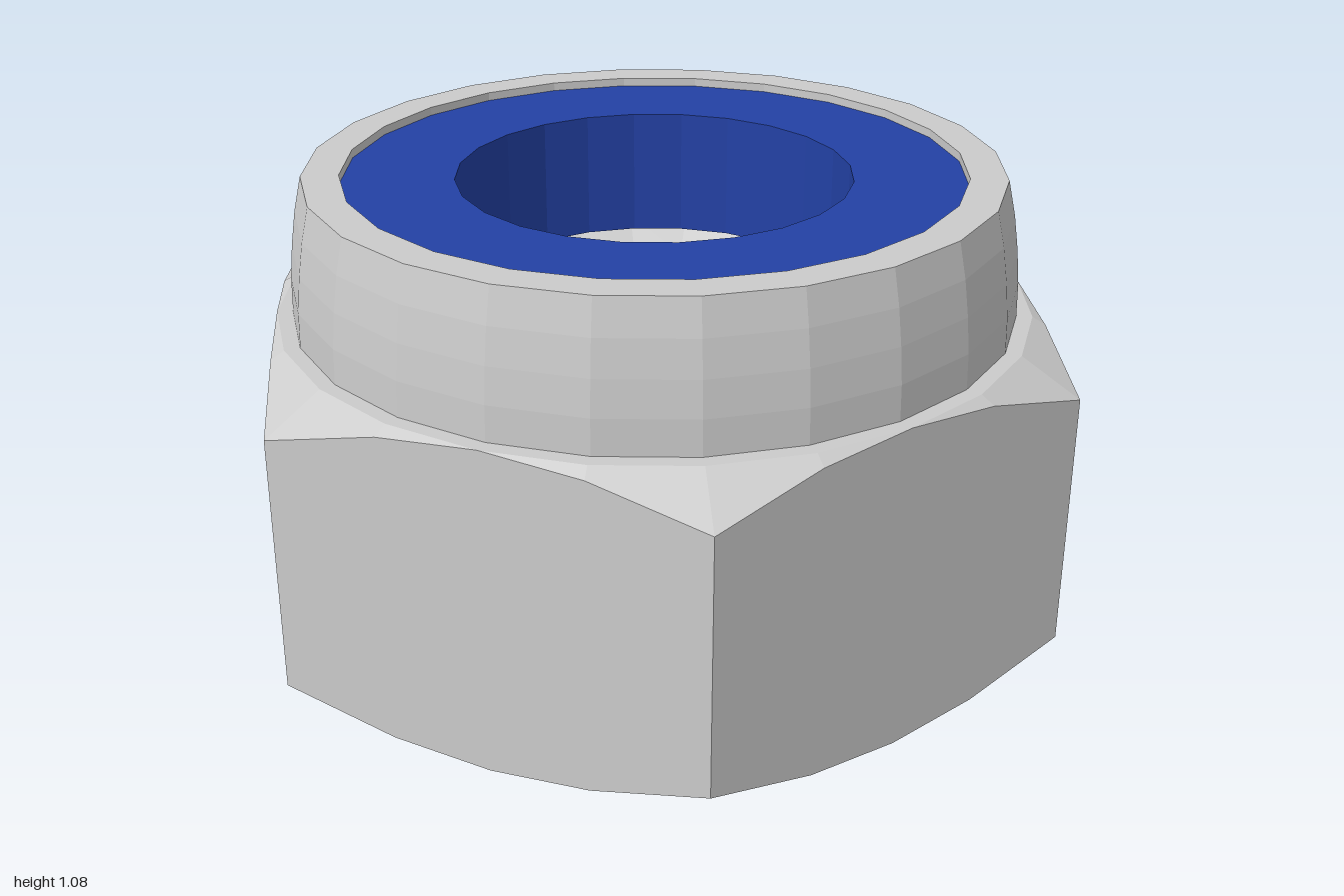
import * as THREE from 'three';

const SIDES = 24;          // facets around the axis, four per hex flat
const FLAT = Math.sqrt(3) / 2; // centre to hex flat, for corner radius 1
const HEIGHT = 0.76;       // hex body height
const CHAMFER = 0.08;      // drop of the chamfer at the hex corners

// Faceted solid of revolution; profile runs up the outside, down the inside
function turned(name, profile, color) {
  const points = profile.map(([r, y]) => new THREE.Vector2(r, y));
  const mesh = new THREE.Mesh(
    new THREE.LatheGeometry(points, SIDES),
    new THREE.MeshStandardMaterial({ color, flatShading: true })
  );
  mesh.name = name;
  return mesh;
}

// Pull the outer wall onto a hexagon and run the conical chamfers to meet it
function cutHexagon(geometry) {
  const pos = geometry.attributes.position;
  for (let i = 0; i < pos.count; i++) {
    const x = pos.getX(i), z = pos.getZ(i);
    if (Math.hypot(x, z) < 0.95) continue;
    const step = Math.PI / 3;
    const angle = Math.atan2(z, x) + 2 * Math.PI;
    const offset = (angle + 1e-6) % step - step / 2; // angle from the flat's middle
    const r = FLAT / Math.cos(offset);
    const drop = CHAMFER * (r - FLAT) / (1 - FLAT);
    const y = pos.getY(i) < HEIGHT / 2 ? drop : HEIGHT - drop;
    pos.setXYZ(i, r * Math.cos(angle), y, r * Math.sin(angle));
  }
  geometry.computeVertexNormals();
}

export function createModel() {
  const group = new THREE.Group();
  group.name = 'lockNut';

  // Hex body with countersunk bore
  const body = turned('hexBody', [
    [0.555, 0], [FLAT, 0], [1, CHAMFER], [1, HEIGHT - CHAMFER], [FLAT, HEIGHT],
    [0.555, HEIGHT], [0.45, HEIGHT - 0.07], [0.45, 0.07], [0.555, 0],
  ], 0xcccccc);
  cutHexagon(body.geometry);

  // Crimped collar, bulging gently inward to its lip
  const collar = turned('collar', [
    [0.83, HEIGHT], [0.828, 0.84], [0.82, 0.92], [0.808, 1.0], [0.79, 1.08],
    [0.705, 1.08], [0.705, HEIGHT],
  ], 0xcccccc);

  // Locking ring, set just below the lip
  const insert = turned('lockingInsert', [
    [0.45, HEIGHT], [0.705, HEIGHT], [0.705, 1.06], [0.45, 1.06], [0.45, HEIGHT],
  ], 0x2341a5);

  group.add(body, collar, insert);
  return group;
}
